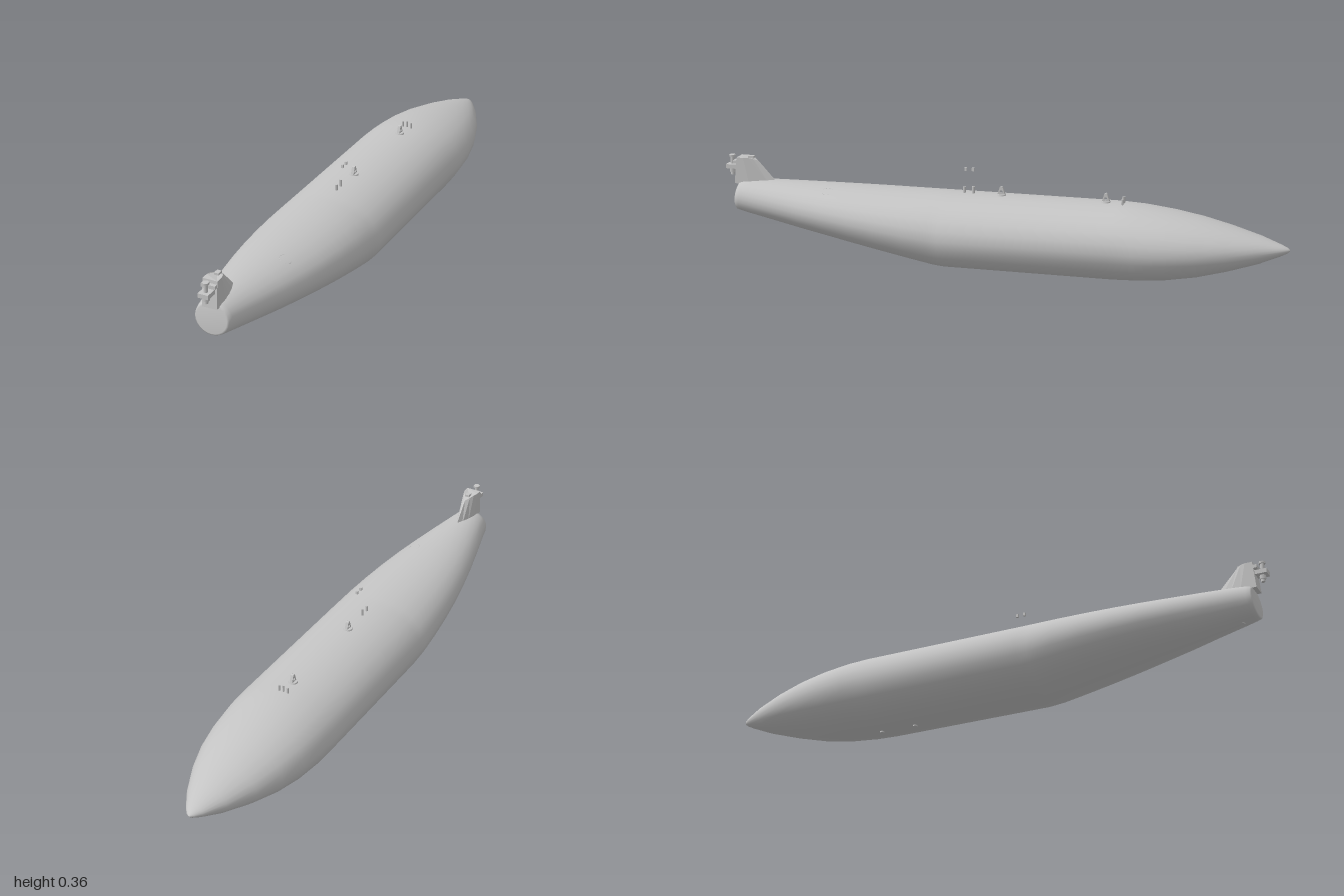
import * as THREE from 'three';

const paint = new THREE.MeshStandardMaterial({ color: 0xc4c4c4 });
paint.name = 'light grey';

function add(parent, name, geometry, x = 0, y = 0, z = 0) {
  const mesh = new THREE.Mesh(geometry, paint);
  mesh.name = name;
  mesh.position.set(x, y, z);
  parent.add(mesh);
  return mesh;
}

// Hull stations: z, half width, top, bottom
const stations = [
  [-1, 0.002, 0.141, 0.137], [-0.992, 0.014, 0.148, 0.13], [-0.97, 0.032, 0.157, 0.119],
  [-0.9, 0.075, 0.181, 0.09], [-0.8, 0.122, 0.208, 0.059], [-0.7, 0.156, 0.231, 0.033],
  [-0.6, 0.177, 0.248, 0.016], [-0.5, 0.187, 0.26, 0.007], [-0.42, 0.189, 0.264, 0.004],
  [-0.1, 0.189, 0.264, 0.004], [0.17, 0.189, 0.264, 0.004], [0.21, 0.188, 0.264, 0.008],
  [0.3, 0.183, 0.264, 0.025], [0.4, 0.174, 0.264, 0.044], [0.5, 0.161, 0.264, 0.063],
  [0.6, 0.144, 0.264, 0.082], [0.7, 0.123, 0.264, 0.1], [0.8, 0.099, 0.264, 0.119],
  [0.9, 0.073, 0.263, 0.138], [0.935, 0.065, 0.261, 0.146], [0.949, 0.06, 0.257, 0.15],
  [0.953, 0.054, 0.252, 0.156],
];

function hullGeometry() {
  const sides = 24, points = [], index = [];
  for (const [z, w, top, bottom] of stations) {
    const mid = (top + bottom) / 2, h = (top - bottom) / 2;
    const tilt = z > 0.85 ? 0.12 * Math.min(1, (z - 0.85) / 0.08) : 0;
    for (let j = 0; j < sides; j++) {
      const a = (j / sides) * Math.PI * 2;
      const y = mid + h * Math.sin(a);
      points.push(w * Math.cos(a), y, z - tilt * (y - 0.203));
    }
  }
  const last = stations.length - 1;
  for (let i = 0; i < last; i++) {
    for (let j = 0; j < sides; j++) {
      const k = (j + 1) % sides;
      const a = i * sides + j, b = i * sides + k, c = a + sides, d = b + sides;
      index.push(a, b, c, b, d, c);
    }
  }
  // Nose and tail caps
  const nose = points.length / 3;
  points.push(0, 0.139, -1, 0, 0.204, 0.953);
  for (let j = 0; j < sides; j++) {
    const k = (j + 1) % sides;
    index.push(nose, k, j, nose + 1, last * sides + j, last * sides + k);
  }
  const g = new THREE.BufferGeometry();
  g.setAttribute('position', new THREE.Float32BufferAttribute(points, 3));
  g.setIndex(index);
  g.computeVertexNormals();
  return g;
}

// Swept fin: a pointed footprint raised while its trailing edge leans
function finGeometry() {
  const outline = [[0, 0], [0.012, -0.2], [0.021, -0.42], [0.026, -0.65], [0.026, -1],
    [-0.026, -1], [-0.026, -0.65], [-0.021, -0.42], [-0.012, -0.2]];
  const shape = new THREE.Shape(outline.map(([x, y]) => new THREE.Vector2(x, y)));
  const g = new THREE.ExtrudeGeometry(shape, { depth: 1, bevelEnabled: false });
  const p = g.attributes.position;
  for (let i = 0; i < p.count; i++) {
    const t = -p.getY(i), d = p.getZ(i);
    const back = 0.805 + 0.075 * d, front = 0.962 - 0.01 * d;
    // The top slopes down towards the pointed end
    const y = 0.248 + d * (0.094 - 0.012 * Math.max(0, 1 - t / 0.42));
    p.setXYZ(i, p.getX(i), y, back + (front - back) * t);
  }
  g.computeVertexNormals();
  return g;
}

// Suspension lug: round foot with an upright eye
function addLug(parent, z) {
  const lug = new THREE.Group();
  lug.name = 'suspensionLug';
  add(lug, 'lugFoot', new THREE.CylinderGeometry(0.015, 0.017, 0.006, 16), 0, 0.264, 0);
  const shape = new THREE.Shape([[-0.014, 0], [0.014, 0], [0.005, 0.028], [0, 0.031], [-0.005, 0.028]]
    .map(([x, y]) => new THREE.Vector2(x, y)));
  const hole = new THREE.Path();
  hole.absarc(0, 0.012, 0.005, 0, Math.PI * 2, true);
  shape.holes.push(hole);
  const eye = new THREE.ExtrudeGeometry(shape, { depth: 0.01, bevelEnabled: false, curveSegments: 6 });
  eye.translate(0, 0, -0.005);
  add(lug, 'lugEye', eye, 0, 0.264, 0).rotation.y = Math.PI / 2;
  lug.position.z = z;
  parent.add(lug);
}

export function createModel() {
  const model = new THREE.Group();
  model.name = 'externalTank';
  add(model, 'hull', hullGeometry());

  // Tail fin and its end fitting
  const tail = new THREE.Group();
  tail.name = 'tailFin';
  model.add(tail);
  add(tail, 'fin', finGeometry());
  add(tail, 'clampBlock', new THREE.BoxGeometry(0.036, 0.015, 0.045), 0, 0.306, 0.9745);
  add(tail, 'clampPlate', new THREE.BoxGeometry(0.05, 0.012, 0.016), 0, 0.325, 0.958);
  add(tail, 'clampBolt', new THREE.CylinderGeometry(0.007, 0.007, 0.07, 12), 0, 0.309, 0.978);
  add(tail, 'boltNut', new THREE.CylinderGeometry(0.011, 0.011, 0.014, 6), 0, 0.29, 0.978);
  add(tail, 'boltHead', new THREE.CylinderGeometry(0.012, 0.012, 0.007, 6), 0, 0.343, 0.978);
  add(tail, 'topLug', new THREE.BoxGeometry(0.016, 0.008, 0.02), 0, 0.342, 0.905);

  for (const z of [-0.01, -0.375]) addLug(model, z);

  // Hose and cable sockets beside the lugs
  const pin = new THREE.CylinderGeometry(0.005, 0.005, 0.026, 10);
  for (const z of [0.09, 0.122]) add(model, 'socketPin', pin, 0, z < 0.1 ? 0.275 : 0.271, z);
  for (const x of [-0.016, 0, 0.016])
    add(model, 'connectorPin', new THREE.CylinderGeometry(0.004, 0.004, 0.024, 8), x, x ? 0.27 : 0.274, -0.435);

  // Small raised couplings
  for (const z of [0.086, 0.112])
    add(model, 'raisedCoupling', new THREE.BoxGeometry(0.008, 0.011, 0.008), 0.018, 0.352, z);

  // Filler cap rim, flush with the upper surface
  const rim = add(model, 'fillerRim', new THREE.TorusGeometry(0.021, 0.001, 6, 24), 0.065, 0.252, 0.6);
  rim.rotation.set(-Math.PI / 2, 0.32, 0);

  // Drain plugs underneath
  for (const z of [-0.43, -0.3])
    add(model, 'drainPlug', new THREE.CylinderGeometry(0.008, 0.008, 0.005, 12), 0, 0.0025, z);
  add(model, 'rearDrain', new THREE.CylinderGeometry(0.009, 0.009, 0.004, 12), 0, 0.14, 0.9)
    .rotation.x = 0.19;
  return model;
}
